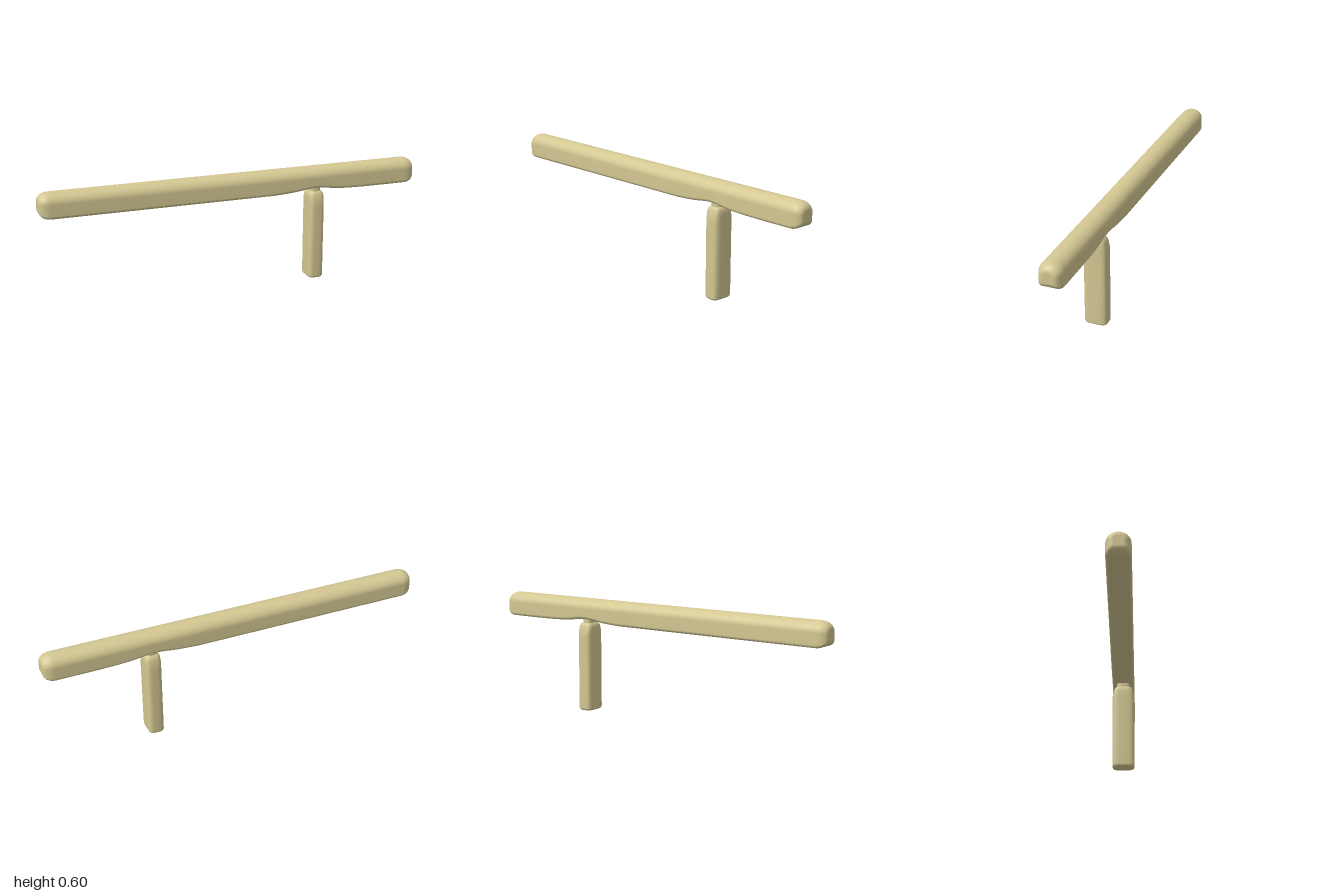
import * as THREE from 'three';

// Skins closed rings of [x, y, z] points; optional flat caps at either end
function loft(rings, capStart, capEnd) {
  const n = rings[0].length, pos = rings.flat(2), index = [];
  for (let i = 0; i < rings.length - 1; i++) {
    for (let j = 0; j < n; j++) {
      const a = i * n + j, b = i * n + (j + 1) % n, c = b + n, d = a + n;
      index.push(a, d, b, b, d, c);
    }
  }
  const cap = (ring, flip) => {
    const start = pos.length / 3;
    const mid = [0, 1, 2].map(k => ring.reduce((s, p) => s + p[k], 0) / n);
    pos.push(...ring.flat(), ...mid);
    for (let j = 0; j < n; j++) {
      const a = start + j, b = start + (j + 1) % n;
      index.push(start + n, ...(flip ? [b, a] : [a, b]));
    }
  };
  if (capStart) cap(rings[0], false);
  if (capEnd) cap(rings[rings.length - 1], true);
  const g = new THREE.BufferGeometry();
  g.setAttribute('position', new THREE.Float32BufferAttribute(pos, 3));
  g.setIndex(index);
  g.computeVertexNormals();
  return g;
}

// Arched cross-section of the shaft: round top, flat bottom with soft corners
function shaftRing(x, bottom, inset) {
  const top = 0.6, half = 0.06, r = 0.016, spring = 0.548, pts = [];
  const arc = (cz, cy, rz, ry, from, to, steps) => {
    for (let i = 0; i <= steps; i++) {
      const a = (from + (to - from) * i / steps) * Math.PI;
      pts.push([cz + rz * Math.cos(a), cy + ry * Math.sin(a)]);
    }
  };
  arc(0, spring, half, top - spring, 0, 1, 20);
  arc(-half + r, bottom + r, r, r, 1, 1.5, 5);
  arc(half - r, bottom + r, r, r, 1.5, 2, 5);
  const mid = (top + bottom) / 2, s = 1 - inset / half;
  return pts.map(([z, y]) => [x, mid + (y - mid) * s, z * s]);
}

// Underside height, hollowed where the side handle meets the shaft
const underside = new THREE.CatmullRomCurve3([
  [0.21, 0.474], [0.32, 0.481], [0.41, 0.492], [0.47, 0.492],
  [0.56, 0.48], [0.68, 0.475], [0.8, 0.474], [1, 0.474],
].map(([x, y]) => new THREE.Vector3(x, y, 0)));

// Rounded tip: quarter-ellipse from full section to the inset end face
function tipRings(sign) {
  const rings = [], steps = 8, len = 0.055, depth = 0.034;
  for (let i = 0; i <= steps; i++) {
    const a = i / steps * Math.PI / 2;
    rings.push(shaftRing(sign * (1 - len + len * Math.sin(a)), 0.474, depth * (1 - Math.cos(a))));
  }
  return rings;
}

// Soft rectangular section of the handle
function handleRing(y, halfX, halfZ, power = 4) {
  const pts = [], soft = v => Math.sign(v) * Math.abs(v) ** (2 / power);
  for (let i = 0; i < 40; i++) {
    const a = i / 40 * Math.PI * 2;
    pts.push([0.447 - halfX * soft(Math.sin(a)), y, halfZ * soft(Math.cos(a))]);
  }
  return pts;
}

export function createModel() {
  const tan = new THREE.MeshStandardMaterial({ color: 0xd3c792 });
  tan.name = 'tan';
  const group = new THREE.Group();
  const add = (name, geometry) => {
    const mesh = new THREE.Mesh(geometry, tan);
    mesh.name = name;
    group.add(mesh);
  };

  // Long straight section
  add('longShaft', loft([...tipRings(-1).reverse(), shaftRing(-0.4, 0.474, 0), shaftRing(0.21, 0.474, 0)], true, false));

  // Short grip section with hollowed underside
  const grip = underside.getPoints(40).filter(p => p.x < 0.93).map(p => shaftRing(p.x, p.y, 0));
  add('gripShaft', loft([...grip, ...tipRings(1)], false, true));

  // Side handle, tapered at the top
  add('sideHandle', loft([
    [0, 0.032, 0.05], [0.004, 0.038, 0.056], [0.012, 0.042, 0.06],
    [0.2, 0.042, 0.06], [0.4, 0.042, 0.06], [0.415, 0.042, 0.0595],
    [0.44, 0.042, 0.055], [0.456, 0.04, 0.051], [0.466, 0.035, 0.046], [0.471, 0.028, 0.04],
  ].map(s => handleRing(...s)), true, true));

  // Narrow neck joining handle and shaft
  add('handleNeck', loft([handleRing(0.46, 0.028, 0.036, 3), handleRing(0.505, 0.028, 0.036, 3)], true, true));

  return group;
}
